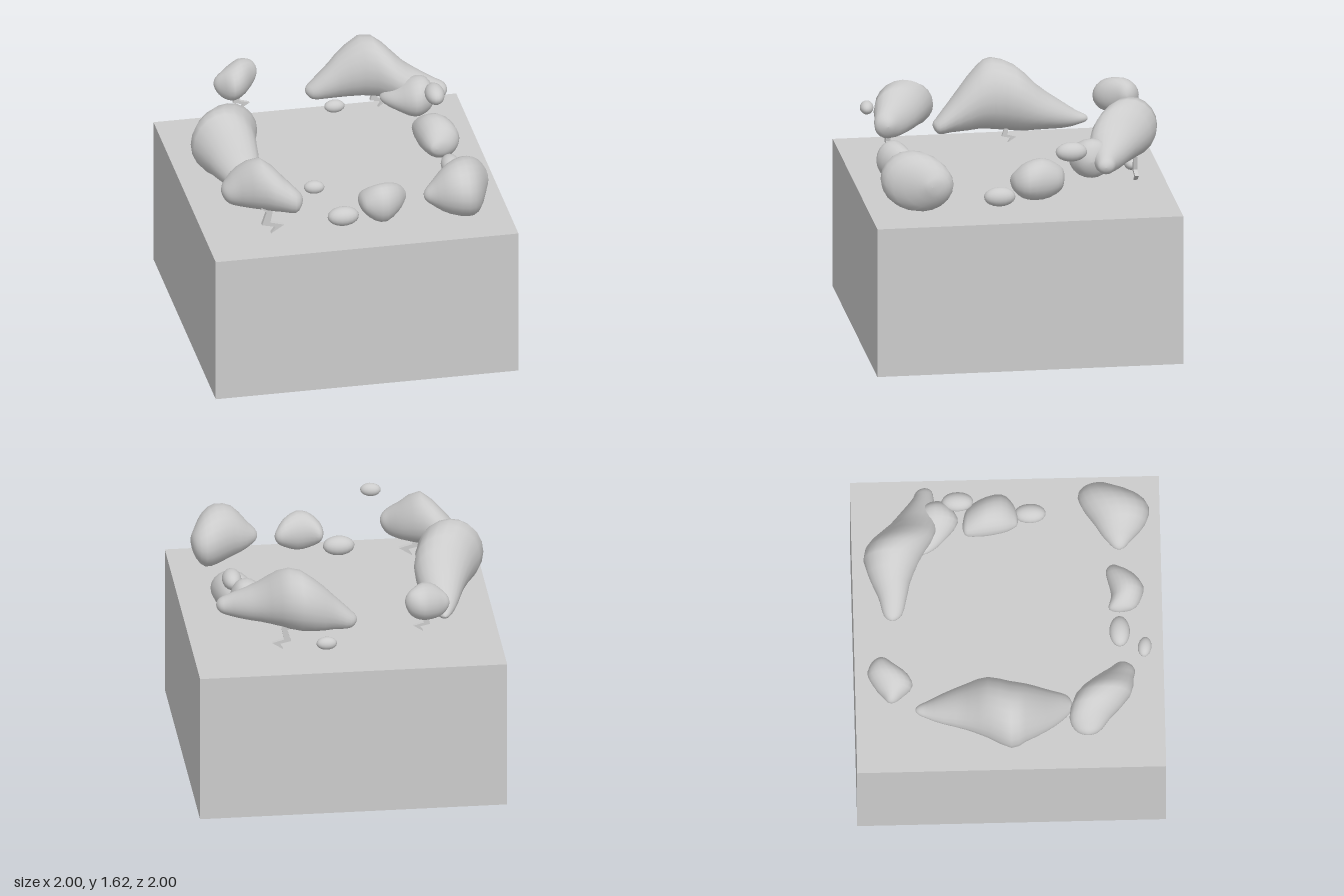
import * as THREE from 'three';

const grey = new THREE.MeshStandardMaterial({ color: 0xcccccc });
const greyDouble = new THREE.MeshStandardMaterial({ color: 0xcccccc, side: THREE.DoubleSide });

// Rounded cloud lofted along x or z.
// Each station is [along, sideMin, sideMax, yMin, yMax]; the first and last close to a point.
function cloud(name, axis, stations, rings = 18, sides = 20) {
  const centre = new THREE.CatmullRomCurve3(stations.map(([s, a, b, c, d]) =>
    new THREE.Vector3(s, (a + b) / 2, (c + d) / 2)), false, 'catmullrom', 0.5);
  // squared half sizes, so that the ends come out round
  const sizes = new THREE.CatmullRomCurve3(stations.map(([, a, b, c, d]) =>
    new THREE.Vector3(((b - a) / 2) ** 2, ((d - c) / 2) ** 2, 0)), false, 'catmullrom', 0.5);
  const positions = [], index = [];
  for (let i = 0; i <= rings; i++) {
    const t = (1 - Math.cos(Math.PI * i / rings)) / 2;
    const c = centre.getPoint(t), r = sizes.getPoint(t);
    const w = Math.sqrt(Math.max(r.x, 1e-6)), h = Math.sqrt(Math.max(r.y, 1e-6));
    for (let j = 0; j < sides; j++) {
      const angle = 2 * Math.PI * j / sides;
      const side = c.y + w * Math.cos(angle), y = c.z + h * Math.sin(angle);
      positions.push(...(axis === 'x' ? [c.x, y, side] : [side, y, c.x]));
      if (i === rings) continue;
      const a = i * sides + j, b = i * sides + (j + 1) % sides;
      const quad = [a, b, a + sides, b, b + sides, a + sides];
      index.push(...(axis === 'x' ? quad.reverse() : quad));
    }
  }
  const geometry = new THREE.BufferGeometry();
  geometry.setAttribute('position', new THREE.Float32BufferAttribute(positions, 3));
  geometry.setIndex(index);
  geometry.computeVertexNormals();
  const mesh = new THREE.Mesh(geometry, grey);
  mesh.name = name;
  return mesh;
}

// Small ellipsoid cloud
function puff(name, centre, radii, tilt = [0, 0, 0]) {
  const mesh = new THREE.Mesh(new THREE.SphereGeometry(1, 18, 12), grey);
  mesh.position.set(...centre);
  mesh.scale.set(...radii);
  mesh.rotation.set(...tilt);
  mesh.name = name;
  return mesh;
}

// Zigzag bolt hanging from its top point
function bolt(name, top, scale = 1, turn = 0) {
  const outline = [[-0.05, 0.03], [0.03, 0.03], [0.01, -0.075], [0.1, -0.1], [0.015, -0.155],
    [0.045, -0.11], [-0.045, -0.09], [-0.015, 0]];
  const shape = new THREE.Shape(outline.map(([x, y]) => new THREE.Vector2(x, y)));
  const geometry = new THREE.ExtrudeGeometry(shape, { depth: 0.03, bevelEnabled: false });
  geometry.translate(0, 0, -0.015);
  const mesh = new THREE.Mesh(geometry, grey);
  mesh.position.set(...top);
  mesh.scale.setScalar(scale);
  mesh.rotation.y = turn;
  mesh.name = name;
  return mesh;
}

// Hollow block, open underneath
function block() {
  const geometry = new THREE.BoxGeometry(2, 1, 2);
  const index = Array.from(geometry.index.array);
  index.splice(18, 6); // remove the bottom face
  geometry.setIndex(index);
  geometry.clearGroups();
  const mesh = new THREE.Mesh(geometry, greyDouble);
  mesh.position.y = 0.5;
  mesh.name = 'openBlock';
  return mesh;
}

export function createModel() {
  const model = new THREE.Group();
  model.name = 'cloudRing';
  model.add(block());

  // Long cloud on the -x side
  model.add(cloud('longSideCloud', 'z', [
    [-0.615, -0.64, -0.64, 1.18, 1.18], [-0.5, -0.72, -0.57, 1.13, 1.26],
    [-0.3, -0.80, -0.51, 1.12, 1.40], [-0.15, -0.88, -0.49, 1.11, 1.54],
    [0, -0.96, -0.53, 1.11, 1.58], [0.1, -0.91, -0.54, 1.12, 1.53],
    [0.25, -0.81, -0.55, 1.12, 1.36], [0.36, -0.71, -0.56, 1.12, 1.24],
    [0.4, -0.63, -0.63, 1.18, 1.18]], 26));

  // Curved cloud at the back with its arm
  model.add(cloud('backCloud', 'x', [
    [-0.05, -0.75, -0.75, 1.26, 1.26], [0, -0.81, -0.68, 1.20, 1.33],
    [0.1, -0.84, -0.65, 1.20, 1.43], [0.2, -0.89, -0.62, 1.20, 1.53],
    [0.34, -0.93, -0.55, 1.21, 1.62], [0.45, -0.87, -0.48, 1.22, 1.58],
    [0.55, -0.77, -0.45, 1.22, 1.49], [0.65, -0.69, -0.45, 1.22, 1.43],
    [0.75, -0.61, -0.46, 1.23, 1.38], [0.81, -0.58, -0.47, 1.25, 1.35],
    [0.84, -0.52, -0.52, 1.3, 1.3]], 26));
  model.add(cloud('backArmCloud', 'x', [
    [0.4, -0.54, -0.54, 1.27, 1.27], [0.5, -0.6, -0.39, 1.20, 1.36],
    [0.6, -0.6, -0.31, 1.17, 1.43], [0.68, -0.57, -0.34, 1.19, 1.43],
    [0.74, -0.44, -0.44, 1.31, 1.31]]));

  // Clouds at the corners
  model.add(cloud('frontCornerCloud', 'x', [
    [-0.86, 0.5, 0.5, 1.25, 1.25], [-0.82, 0.41, 0.59, 1.17, 1.33],
    [-0.75, 0.38, 0.65, 1.15, 1.41], [-0.62, 0.42, 0.78, 1.16, 1.50],
    [-0.5, 0.53, 0.80, 1.16, 1.41], [-0.42, 0.64, 0.81, 1.17, 1.34],
    [-0.37, 0.73, 0.73, 1.26, 1.26]]));
  model.add(cloud('wideCornerCloud', 'x', [
    [0.43, 0.73, 0.73, 1.2, 1.2], [0.5, 0.64, 0.82, 1.12, 1.30],
    [0.6, 0.57, 0.91, 1.07, 1.40], [0.7, 0.5, 0.93, 1.04, 1.42],
    [0.78, 0.47, 0.87, 1.04, 1.39], [0.85, 0.51, 0.71, 1.13, 1.31],
    [0.875, 0.62, 0.62, 1.23, 1.23]]));
  model.add(cloud('backCornerCloud', 'x', [
    [-0.65, -0.77, -0.77, 1.36, 1.36], [-0.6, -0.83, -0.69, 1.27, 1.44],
    [-0.54, -0.88, -0.63, 1.25, 1.48], [-0.47, -0.92, -0.66, 1.26, 1.50],
    [-0.4, -0.9, -0.75, 1.30, 1.48], [-0.355, -0.83, -0.83, 1.40, 1.40]]));

  // Middle clouds at the front and on the +x side
  model.add(cloud('frontMiddleCloud', 'x', [
    [0, 0.72, 0.72, 1.2, 1.2], [0.03, 0.65, 0.83, 1.13, 1.27],
    [0.1, 0.67, 0.87, 1.08, 1.32], [0.17, 0.66, 0.88, 1.07, 1.33],
    [0.25, 0.64, 0.82, 1.11, 1.30], [0.3, 0.65, 0.74, 1.15, 1.25],
    [0.32, 0.69, 0.69, 1.2, 1.2]]));
  model.add(cloud('sideMiddleCloud', 'z', [
    [-0.28, 0.61, 0.61, 1.19, 1.19], [-0.24, 0.55, 0.74, 1.10, 1.27],
    [-0.13, 0.55, 0.80, 1.06, 1.33], [-0.02, 0.57, 0.82, 1.07, 1.31],
    [0.05, 0.60, 0.76, 1.11, 1.25], [0.08, 0.65, 0.65, 1.18, 1.18]]));

  // Small puffs
  model.add(puff('highSidePuff', [0.715, 1.38, -0.31], [0.063, 0.063, 0.103]));
  model.add(puff('lowSidePuff', [0.725, 1.1, 0.16], [0.063, 0.063, 0.103]));
  model.add(puff('lowFrontPuff', [-0.1, 1.1, 0.72], [0.103, 0.063, 0.067]));
  model.add(puff('highFrontPuff', [-0.325, 1.415, 0.877], [0.067, 0.043, 0.044], [0, -0.15, 0]));
  model.add(puff('lowBackPuff', [0.15, 1.11, -0.78], [0.067, 0.042, 0.044]));

  // Bolts hanging below four clouds
  model.add(bolt('frontCornerBolt', [-0.59, 1.175, 0.7]));
  model.add(bolt('longSideBolt', [-0.63, 1.145, -0.08], 0.65, Math.PI / 2));
  model.add(bolt('backBolt', [0.42, 1.215, -0.77], 0.85));
  model.add(bolt('backCornerBolt', [-0.49, 1.28, -0.77], 0.75));
  return model;
}
